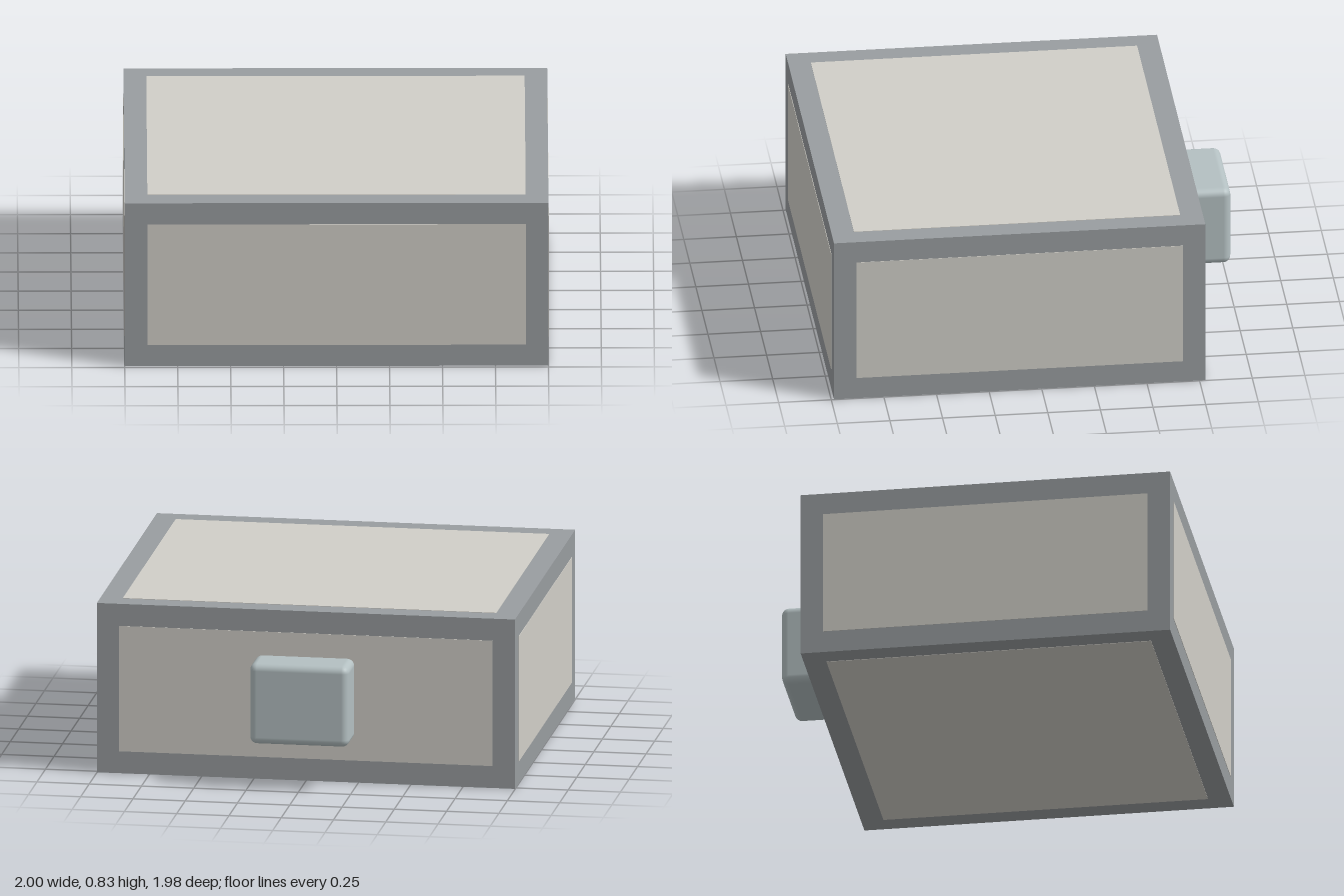
import * as THREE from 'three';
import { RoundedBoxGeometry } from 'three/addons/geometries/RoundedBoxGeometry.js';

const paint = (color) => new THREE.MeshStandardMaterial({ color });

export function createModel() {
  const model = new THREE.Group();
  model.name = 'boxUnit';
  const frameMat = paint(0x999da0);
  const panelMat = paint(0xd1cfc8);
  const housingMat = paint(0xb4c0c2);

  const size = new THREE.Vector3(2, 0.824, 1.764);
  const border = 0.107; // visible frame width around every panel
  const proud = 0.002; // panels stand just clear of the frame

  // Main body with its framed panels
  const body = new THREE.Group();
  body.name = 'body';
  body.position.set(0, size.y / 2, 0.105);
  model.add(body);

  const frame = new THREE.Mesh(new THREE.BoxGeometry(size.x, size.y, size.z), frameMat);
  frame.name = 'frame';
  body.add(frame);

  // One inset panel on each of the six sides
  const sides = { x: ['leftPanel', 'rightPanel'], y: ['topPanel', 'bottomPanel'], z: ['frontPanel', 'backPanel'] };
  for (const [axis, names] of Object.entries(sides)) {
    const s = size.clone().subScalar(2 * border);
    s[axis] = 2 * proud;
    const geometry = new THREE.BoxGeometry(s.x, s.y, s.z);
    names.forEach((name, i) => {
      const panel = new THREE.Mesh(geometry, panelMat);
      panel.name = name;
      panel.position[axis] = (i ? -1 : 1) * size[axis] / 2;
      body.add(panel);
    });
  }

  // Small rounded housing on the back
  const housing = new THREE.Mesh(new RoundedBoxGeometry(0.475, 0.392, 0.206, 3, 0.035), housingMat);
  housing.name = 'backHousing';
  housing.position.set(0, 0.414, -0.884);
  model.add(housing);

  return model;
}
